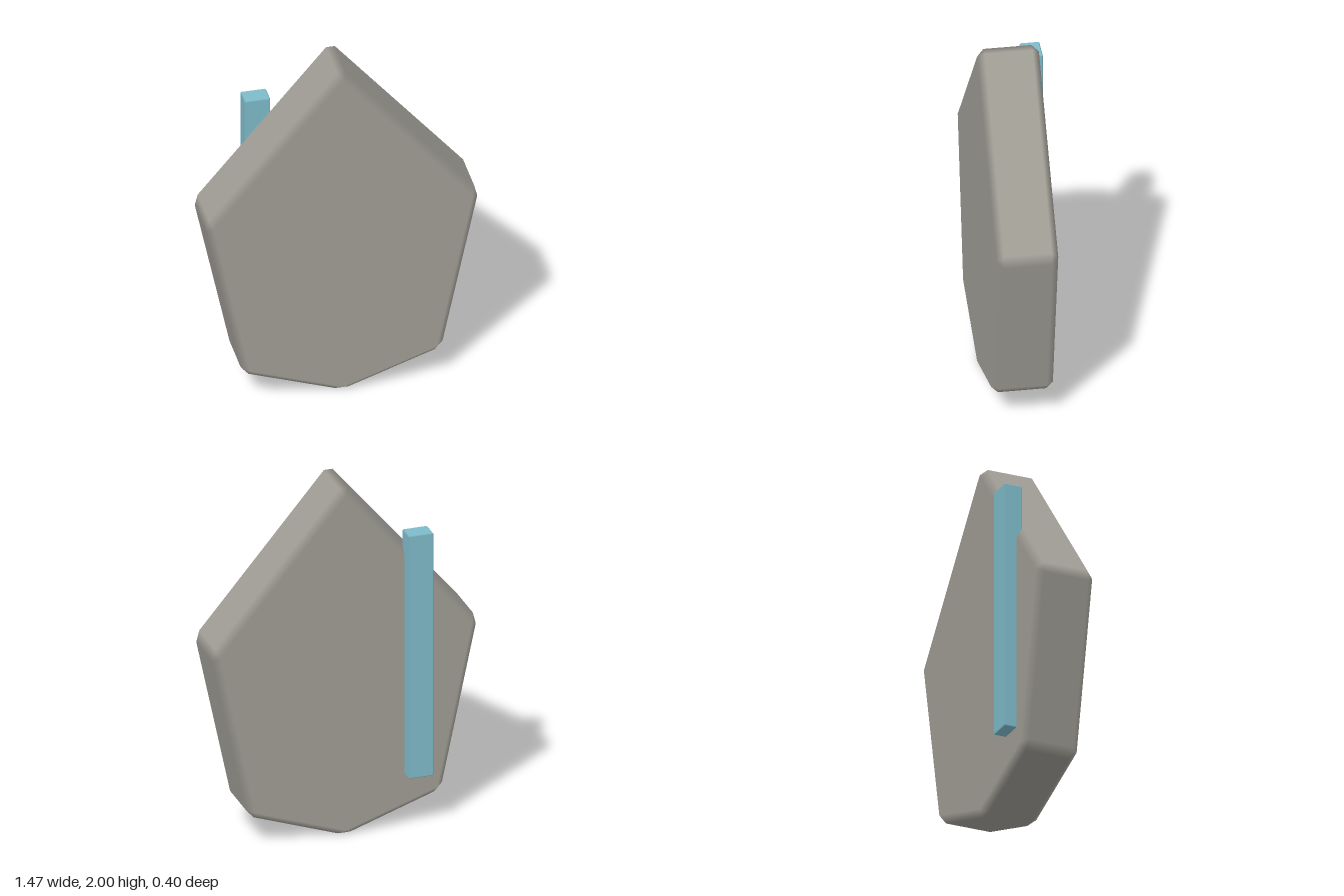
import * as THREE from 'three';

// Convex slab with every edge chamfered by w. Flat faces keep their own normal,
// so shading blends softly across the chamfers. Outline runs counter-clockwise.
function chamferedSlab(outline, zBack, zFront, w) {
  const n = outline.length;
  const corners = outline.map(([x, y]) => new THREE.Vector2(x, y));
  const dirs = corners.map((c, i) => corners[(i + 1) % n].clone().sub(c).normalize());
  const outs = dirs.map((d) => new THREE.Vector2(d.y, -d.x));
  const pos = [], nor = [], idx = [];

  // Three vertices per corner and side: on the cap, on the previous edge, on the next edge
  corners.forEach((c, i) => {
    const p = (i + n - 1) % n;
    const inset = outs[p].clone().add(outs[i]).multiplyScalar(-w / (1 + outs[p].dot(outs[i]))).add(c);
    const a = c.clone().addScaledVector(dirs[p], -w);
    const b = c.clone().addScaledVector(dirs[i], w);
    for (const [z, s] of [[zFront, 1], [zBack, -1]]) {
      pos.push(inset.x, inset.y, z, a.x, a.y, z - s * w, b.x, b.y, z - s * w);
      nor.push(0, 0, s, outs[p].x, outs[p].y, 0, outs[i].x, outs[i].y, 0);
    }
  });

  const id = (corner, back, kind) => ((corner % n) * 2 + back) * 3 + kind;
  const tri = (a, b, c, flip) => (flip ? idx.push(a, c, b) : idx.push(a, b, c));
  const quad = (a, b, c, d, flip) => { tri(a, b, c, flip); tri(a, c, d, flip); };

  for (let i = 0; i < n; i++) {
    const j = i + 1;
    quad(id(i, 0, 2), id(i, 1, 2), id(j, 1, 1), id(j, 0, 1), false); // side
    quad(id(i, 0, 1), id(i, 1, 1), id(i, 1, 2), id(i, 0, 2), false); // corner chamfer
    for (const s of [0, 1]) {
      quad(id(i, s, 0), id(i, s, 2), id(j, s, 1), id(j, s, 0), s);   // rim chamfer
      tri(id(i, s, 0), id(i, s, 1), id(i, s, 2), s);                 // corner tip
      if (i > 0 && i < n - 1) tri(id(0, s, 0), id(i, s, 0), id(j, s, 0), s); // cap
    }
  }
  const geo = new THREE.BufferGeometry();
  geo.setAttribute('position', new THREE.Float32BufferAttribute(pos, 3));
  geo.setAttribute('normal', new THREE.Float32BufferAttribute(nor, 3));
  geo.setIndex(idx);
  return geo;
}

export function createModel() {
  const stone = new THREE.MeshStandardMaterial({ color: 0xa09d95 });
  stone.name = 'warm grey';
  const blue = new THREE.MeshStandardMaterial({ color: 0x7ebbca });
  blue.name = 'pale blue';

  const group = new THREE.Group();
  group.name = 'shield';

  // Pointed six-sided plate
  const plate = new THREE.Mesh(chamferedSlab([
    [0, -0.012], [0.54, 0.176], [0.744, 1.142],
    [0, 2.028], [-0.744, 1.142], [-0.54, 0.176],
  ], -0.13, 0.2, 0.037), stone);
  plate.name = 'plate';

  // Upright bar sunk into the back
  const bar = new THREE.Mesh(chamferedSlab([
    [-0.465, 0.307], [-0.325, 0.307], [-0.325, 1.717], [-0.465, 1.717],
  ], -0.2, -0.095, 0.006), blue);
  bar.name = 'backBar';

  group.add(plate, bar);
  return group;
}
